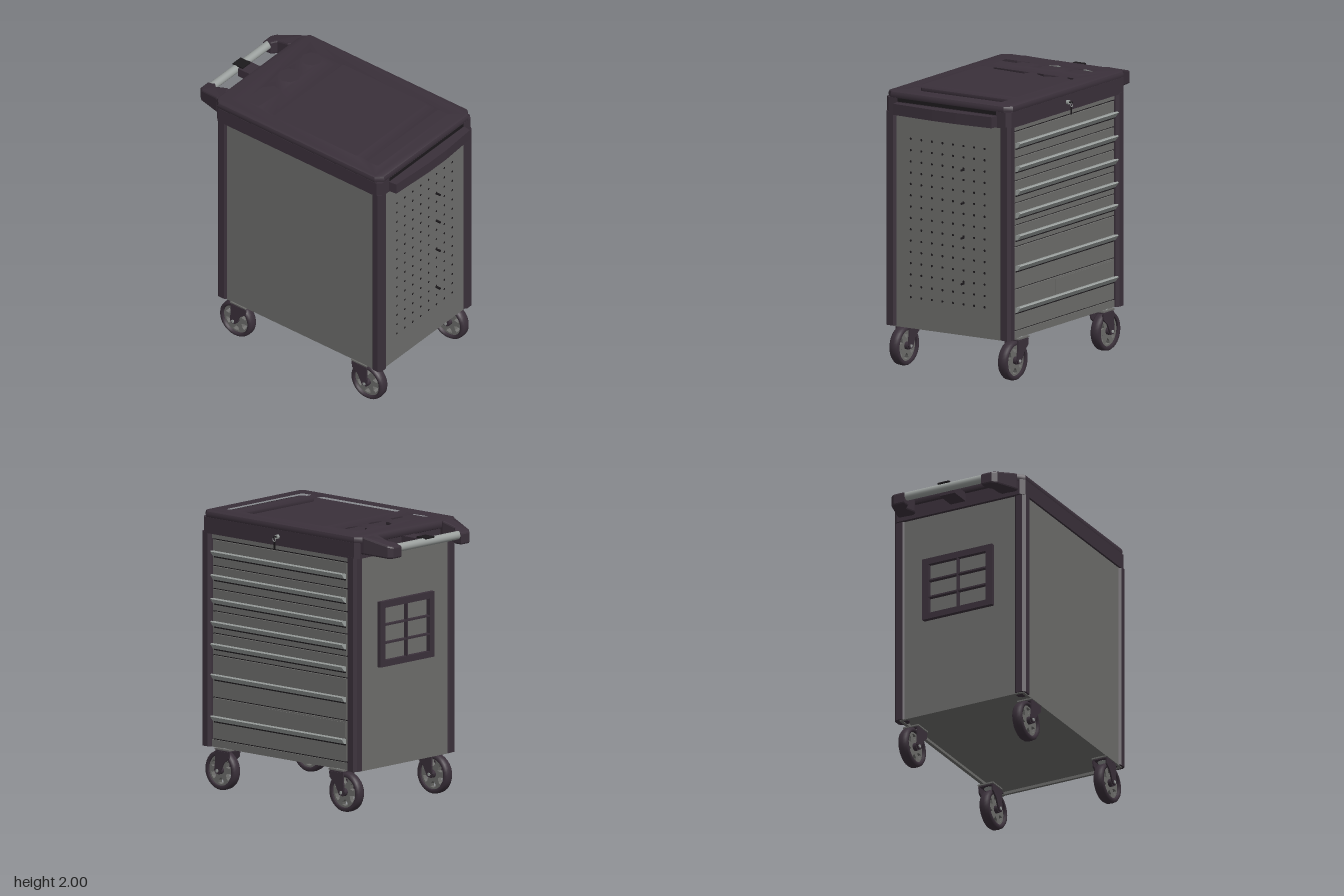
import * as THREE from 'three';
import { toCreasedNormals } from 'three/addons/utils/BufferGeometryUtils.js';

const material = (name, color) => {
  const m = new THREE.MeshStandardMaterial({ color });
  m.name = name;
  return m;
};

const CX = -0.025; // the cabinet sits slightly off centre because of the keys and drawer pulls

export function createModel() {
  const model = new THREE.Group();
  model.name = 'toolTrolley';
  const plastic = material('dark plastic', 0x3a303a);
  const steel = material('grey steel', 0x6c6c6a);
  const bright = material('bright steel', 0x9a9f9d);
  const black = material('black gap', 0x1c191c);

  const add = (name, geometry, mat, parent = model) => {
    const mesh = new THREE.Mesh(geometry, mat);
    mesh.name = name;
    parent.add(mesh);
    return mesh;
  };
  // Box given by its lower and upper limits
  const box = (name, mat, x0, x1, y0, y1, z0, z1, parent) => {
    const g = new THREE.BoxGeometry(x1 - x0, y1 - y0, z1 - z0);
    g.translate((x0 + x1) / 2, (y0 + y1) / 2, (z0 + z1) / 2);
    return add(name, g, mat, parent);
  };
  const outline = (pts, Type = THREE.Shape) => new Type(pts.map(([x, y]) => new THREE.Vector2(x, y)));
  // Plan shape in (x, z) raised from y0 to y1
  const plan = (pts) => pts.map(([x, z]) => [x, -z]);
  const raise = (shape, y0, y1, bevel = 0) => {
    const g = new THREE.ExtrudeGeometry(shape, {
      depth: y1 - y0 - 2 * bevel, bevelEnabled: bevel > 0, bevelSize: bevel,
      bevelThickness: bevel, bevelOffset: -bevel, bevelSegments: 2, curveSegments: 16,
    });
    g.rotateX(-Math.PI / 2);
    return g.translate(0, y0 + bevel, 0);
  };
  // Side shape in (z, y) given a thickness along x, centred on x
  const sideways = (shape, width, x = 0) => {
    const g = new THREE.ExtrudeGeometry(shape, { depth: width, bevelEnabled: false, curveSegments: 24 });
    g.rotateY(-Math.PI / 2);
    return g.translate(x + width / 2, 0, 0);
  };
  const rect = (x0, x1, z0, z1, c = 0) => [
    [x0 + c, z0], [x1 - c, z0], [x1, z0 + c], [x1, z1 - c], [x1 - c, z1], [x0 + c, z1], [x0, z1 - c], [x0, z0 + c]];

  // Cabinet body and floor rim
  box('cabinetBody', steel, -0.535, 0.462, 0.325, 1.85, -0.645, 0.808);
  for (const [x0, x1] of [[-0.535, -0.515], [0.445, 0.465]])
    box('floorRim', steel, x0, x1, 0.305, 0.33, -0.64, 0.80);
  for (const [z0, z1] of [[-0.645, -0.625], [0.788, 0.808]])
    box('floorRim', steel, -0.515, 0.445, 0.305, 0.33, z0, z1);

  // Chamfered corner posts
  for (const sx of [-1, 1]) {
    for (const [z0, z1] of [[0.742, 0.825], [-0.655, -0.562]]) {
      const x0 = sx < 0 ? -0.55 : 0.412;
      add('cornerPost', raise(outline(plan(rect(x0, x0 + 0.09, z0, z1, 0.02))), 0.31, 1.85), plastic);
    }
  }

  // Perforated front panel
  for (let row = 0; row < 15; row++) {
    for (let col = 0; col < 8; col++) {
      const hole = new THREE.CircleGeometry(0.009, 8);
      hole.translate(-0.34 + col * 0.089, 0.53 + row * 0.0815, 0.811);
      add('panelHole', hole, black);
    }
  }
  for (const y of [0.68, 1.01, 1.26, 1.5]) box('panelHook', black, 0.1, 0.112, y - 0.006, y + 0.006, 0.808, 0.845);

  // Drawers with full-width pulls on the +x side
  const seams = [0.365, 0.665, 0.97, 1.125, 1.285, 1.445, 1.61, 1.8];
  const pulls = [0.52, 0.82, 1.04, 1.2, 1.365, 1.535, 1.705];
  box('drawerGap', black, 0.45, 0.466, 0.355, 1.82, -0.562, 0.735);
  pulls.forEach((y, i) => {
    box('drawerFront', steel, 0.45, 0.48, seams[i] + 0.005, seams[i + 1] - 0.005, -0.55, 0.722);
    const lip = new THREE.ExtrudeGeometry(
      outline([[0.475, y - 0.025], [0.495, y - 0.022], [0.522, y + 0.012], [0.515, y + 0.02], [0.475, y + 0.012]]),
      { depth: 1.26, bevelEnabled: false });
    add('drawerPull', lip.translate(0, 0, -0.545), bright);
    box('pullShadow', black, 0.475, 0.484, y - 0.034, y - 0.025, -0.545, 0.715);
  });
  box('lowerRail', steel, 0.45, 0.475, 0.31, 0.36, -0.562, 0.742);
  box('upperRail', steel, 0.45, 0.475, 1.805, 1.85, -0.562, 0.742);
  box('drawerLabelPlate', steel, 0.478, 0.484, 0.545, 0.65, -0.54, 0.21);

  // Lid: a solid base and a bevelled top with trays cut in it
  add('lidBase', raise(outline(plan(rect(-0.55, 0.5, -0.67, 0.825, 0.03))), 1.84, 1.955), plastic);
  const top = outline(plan(rect(-0.55, 0.5, -0.69, 0.825, 0.05)));
  const cut = (pts) => top.holes.push(outline(plan(pts), THREE.Path));
  cut(rect(-0.45, 0.38, -0.255, 0.54, 0.025));
  cut(rect(-0.45, 0.38, 0.6, 0.73, 0.02));
  cut([[-0.43, -0.53], [-0.2, -0.53], [-0.12, -0.46], [-0.15, -0.35], [-0.42, -0.37]]);
  for (const [x, r] of [[0.02, 0.105], [0.27, 0.1]]) {
    cut(Array.from({ length: 8 }, (_, i) => [x + r * Math.cos(i * Math.PI / 4), -0.45 + r * Math.sin(i * Math.PI / 4)]));
  }
  add('lidTop', toCreasedNormals(raise(top, 1.94, 2.0, 0.02), 0.6), plastic);

  // Front lip with a dark slot above it
  const lip = raise(outline(plan([[-0.45, 0.8], [0.4, 0.8], [0.39, 0.885], [0.1, 0.905], [-0.1, 0.905], [-0.44, 0.885]])), 1.845, 1.925);
  add('frontLip', lip, plastic);
  box('frontSlot', black, -0.44, 0.39, 1.93, 1.955, 0.82, 0.828);

  // Handle arms, sloping down towards the back
  for (const s of [-1, 1]) {
    const arm = [[0.36, -0.62], [0.485, -0.62], [0.48, -0.69], [0.425, -0.87], [0.395, -0.9], [0.31, -0.9], [0.31, -0.835], [0.345, -0.8], [0.335, -0.7]];
    const pts = plan(arm.map(([x, z]) => [CX + s * x, z]));
    const g = raise(outline(pts), 1.855, 1.997, 0.012);
    const p = g.attributes.position;
    for (let i = 0; i < p.count; i++) {
      const over = Math.max(0, -0.7 - p.getZ(i));
      if (p.getY(i) > 1.92) p.setY(i, p.getY(i) - over * 0.28);
      else p.setY(i, p.getY(i) + Math.max(0, 0.05 - over) * 0.3);
    }
    g.computeVertexNormals();
    add('handleArm', g, plastic);
  }
  const bar = new THREE.CylinderGeometry(0.03, 0.03, 0.68, 20).rotateZ(Math.PI / 2);
  add('handleBar', bar.translate(CX, 1.92, -0.862), bright);
  box('handleBracket', plastic, -0.085, 0.035, 1.88, 1.945, -0.83, -0.66);
  box('handleClip', black, -0.07, 0.02, 1.945, 1.955, -0.89, -0.8).rotation.y = 0;

  // Window-like rack on the back
  const rack = new THREE.Shape().moveTo(-0.3, 1.03).lineTo(0.26, 1.03).lineTo(0.26, 1.5).lineTo(-0.3, 1.5).closePath();
  for (let c = 0; c < 2; c++) {
    for (let r = 0; r < 3; r++) {
      const x = -0.25 + c * 0.235, y = 1.075 + r * 0.13;
      rack.holes.push(outline([[x, y], [x, y + 0.118], [x + 0.225, y + 0.118], [x + 0.225, y]], THREE.Path));
    }
  }
  const rackGeo = new THREE.ExtrudeGeometry(rack, { depth: 0.035, bevelEnabled: false });
  add('backRack', rackGeo.translate(0, 0, -0.677), plastic);

  // Lock and hanging keys
  const lock = new THREE.CylinderGeometry(0.016, 0.016, 0.03, 12).rotateZ(Math.PI / 2);
  add('lock', lock.translate(0.505, 1.905, 0.085), bright);
  box('key', black, 0.515, 0.55, 1.9, 1.912, 0.081, 0.089);
  add('keyRing', new THREE.TorusGeometry(0.014, 0.003, 6, 14).rotateY(Math.PI / 2).translate(0.54, 1.89, 0.085), bright);
  box('hangingKey', black, 0.532, 0.54, 1.82, 1.88, 0.079, 0.091);

  // Swivel castors with six-hole wheels
  const tyreProfile = [[0.112, -0.034], [0.13, -0.04], [0.141, -0.026], [0.144, 0], [0.141, 0.026], [0.13, 0.04], [0.112, 0.034], [0.112, -0.034]];
  const disc = new THREE.Shape().absarc(0, 0, 0.114, 0, Math.PI * 2);
  for (let i = 0; i < 6; i++) {
    const a = i * Math.PI / 3 + Math.PI / 6;
    const hole = [[0.052, 0], [0.074, 0.022], [0.094, 0.026], [0.1, 0], [0.094, -0.026], [0.074, -0.022]];
    disc.holes.push(outline(hole.map(([u, v]) =>
      [u * Math.cos(a) - v * Math.sin(a), u * Math.sin(a) + v * Math.cos(a)]), THREE.Path));
  }
  const castor = (x, z, s) => {
    const g = new THREE.Group();
    g.name = 'castor';
    g.position.set(x, 0.144, z);
    model.add(g);
    const tyre = new THREE.LatheGeometry(tyreProfile.map(([r, y]) => new THREE.Vector2(r, y)), 32).rotateZ(Math.PI / 2);
    add('tyre', tyre, plastic, g);
    add('wheelDisc', sideways(disc, 0.036), steel, g);
    add('hub', new THREE.CylinderGeometry(0.028, 0.028, 0.09, 16).rotateZ(Math.PI / 2), plastic, g);
    add('axle', new THREE.CylinderGeometry(0.012, 0.012, 0.128, 12).rotateZ(Math.PI / 2), bright, g);
    // Fork cheeks lean from the swivel to the axle
    const cheek = [[-0.02 * s, -0.018], [0.015 * s, -0.02], [0.028 * s, 0.005], [0.02 * s, 0.07], [0.02 * s, 0.142], [-0.115 * s, 0.142], [-0.11 * s, 0.1], [-0.06 * s, 0.06]];
    for (const side of [-1, 1]) add('forkCheek', sideways(outline(cheek), 0.012, side * 0.053), plastic, g);
    box('forkCrown', plastic, -0.058, 0.058, 0.143, 0.15, -0.0475 * s - 0.065, -0.0475 * s + 0.065, g);
    add('swivel', new THREE.CylinderGeometry(0.045, 0.045, 0.025, 16).translate(0, 0.155, -0.0475 * s), bright, g);
    box('mountPlate', steel, -0.062, 0.062, 0.153, 0.163, -0.0475 * s - 0.07, -0.0475 * s + 0.07, g);
  };
  for (const x of [-0.483, 0.433]) {
    castor(x, 0.677, 1);
    castor(x, -0.51, -1);
  }
  return model;
}
